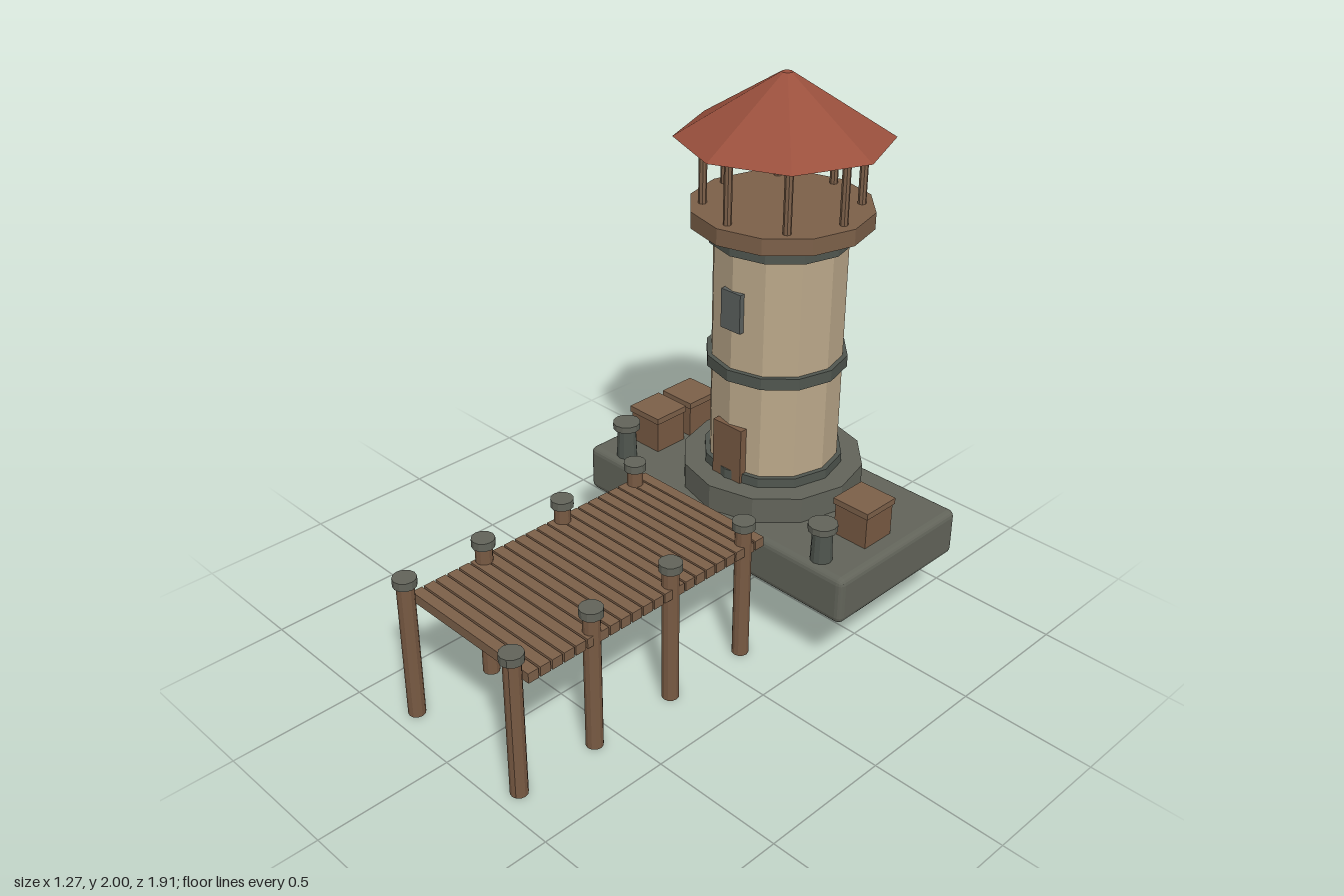
import * as THREE from 'three';
import { RoundedBoxGeometry } from 'three/addons/geometries/RoundedBoxGeometry.js';

const mat = (name, color) => {
  const m = new THREE.MeshStandardMaterial({ color, flatShading: true });
  m.name = name;
  return m;
};

export function createModel() {
  const stone = mat('stone', 0x62645a);
  const trim = mat('dark trim', 0x50564f);
  const plaster = mat('plaster', 0xbba88a);
  const wood = mat('wood', 0x7c6049);
  const postWood = mat('post wood', 0x785a43);
  const tile = mat('roof tile', 0x9a503d);
  const glass = mat('window', 0x5b605e);

  const model = new THREE.Group();
  const TZ = -0.575; // tower axis

  const add = (parent, name, geometry, material, x, y, z) => {
    const mesh = new THREE.Mesh(geometry, material);
    mesh.name = name;
    mesh.position.set(x, y, z);
    parent.add(mesh);
    return mesh;
  };
  // Prism standing between two heights
  const drum = (parent, name, rTop, rBottom, y0, y1, sides, material, x = 0, z = 0) =>
    add(parent, name, new THREE.CylinderGeometry(rTop, rBottom, y1 - y0, sides),
      material, x, (y0 + y1) / 2, z);
  const group = (name, x = 0, z = 0) => {
    const g = new THREE.Group();
    g.name = name;
    g.position.set(x, 0, z);
    model.add(g);
    return g;
  };

  // Quay slab
  add(model, 'quaySlab', new RoundedBoxGeometry(1.275, 0.185, 0.65, 2, 0.025), stone, 0, 0.343, -0.55);

  // Tower
  const tower = group('tower', 0, TZ);
  drum(tower, 'plinth', 0.34, 0.34, 0.32, 0.535, 12, stone);
  drum(tower, 'shaft', 0.242, 0.242, 0.53, 1.45, 12, plaster);
  for (const y of [0.528, 0.936, 1.415]) drum(tower, 'ringBand', 0.26, 0.26, y, y + 0.044, 12, trim);
  add(tower, 'door', new THREE.BoxGeometry(0.136, 0.22, 0.035), postWood, 0, 0.643, 0.235);
  add(tower, 'window', new THREE.BoxGeometry(0.09, 0.148, 0.03), glass, 0, 1.205, 0.235);

  // Lookout gallery and roof
  drum(tower, 'galleryFloor', 0.327, 0.327, 1.474, 1.535, 12, wood);
  for (let i = 0; i < 8; i++) {
    const a = (i * Math.PI) / 4;
    drum(tower, 'roofPost', 0.015, 0.015, 1.53, 1.785, 8, wood, 0.275 * Math.sin(a), 0.275 * Math.cos(a));
  }
  drum(tower, 'roof', 0.02, 0.38, 1.775, 2, 8, tile);

  // Pier deck
  const pier = group('pier');
  const plank = new THREE.BoxGeometry(0.6, 0.038, 0.042);
  for (let i = 0; i < 22; i++) add(pier, 'plank', plank, wood, 0, 0.454, -0.18 + i * 0.0493);

  // Pier piles with caps
  for (const x of [-0.274, 0.274]) {
    for (const z of [-0.123, 0.233, 0.589, 0.917]) {
      drum(pier, 'pile', 0.031, 0.031, 0, 0.54, 12, postWood, x, z);
      drum(pier, 'pileCap', 0.042, 0.042, 0.535, 0.566, 12, stone, x, z);
    }
  }

  // Mooring bollards
  for (const x of [-0.492, 0.492]) {
    const bollard = group('bollard', x, -0.287);
    drum(bollard, 'bollardShaft', 0.036, 0.04, 0.43, 0.56, 12, trim);
    drum(bollard, 'bollardCap', 0.053, 0.053, 0.557, 0.582, 12, stone);
  }

  // Crates with lids
  for (const [x, z] of [[-0.492, -0.633], [-0.492, -0.456], [0.492, -0.511]]) {
    const crate = group('crate', x, z);
    add(crate, 'crateBody', new THREE.BoxGeometry(0.142, 0.135, 0.142), postWood, 0, 0.5, 0);
    add(crate, 'crateLid', new THREE.BoxGeometry(0.154, 0.024, 0.154), wood, 0, 0.572, 0);
  }

  return model;
}
